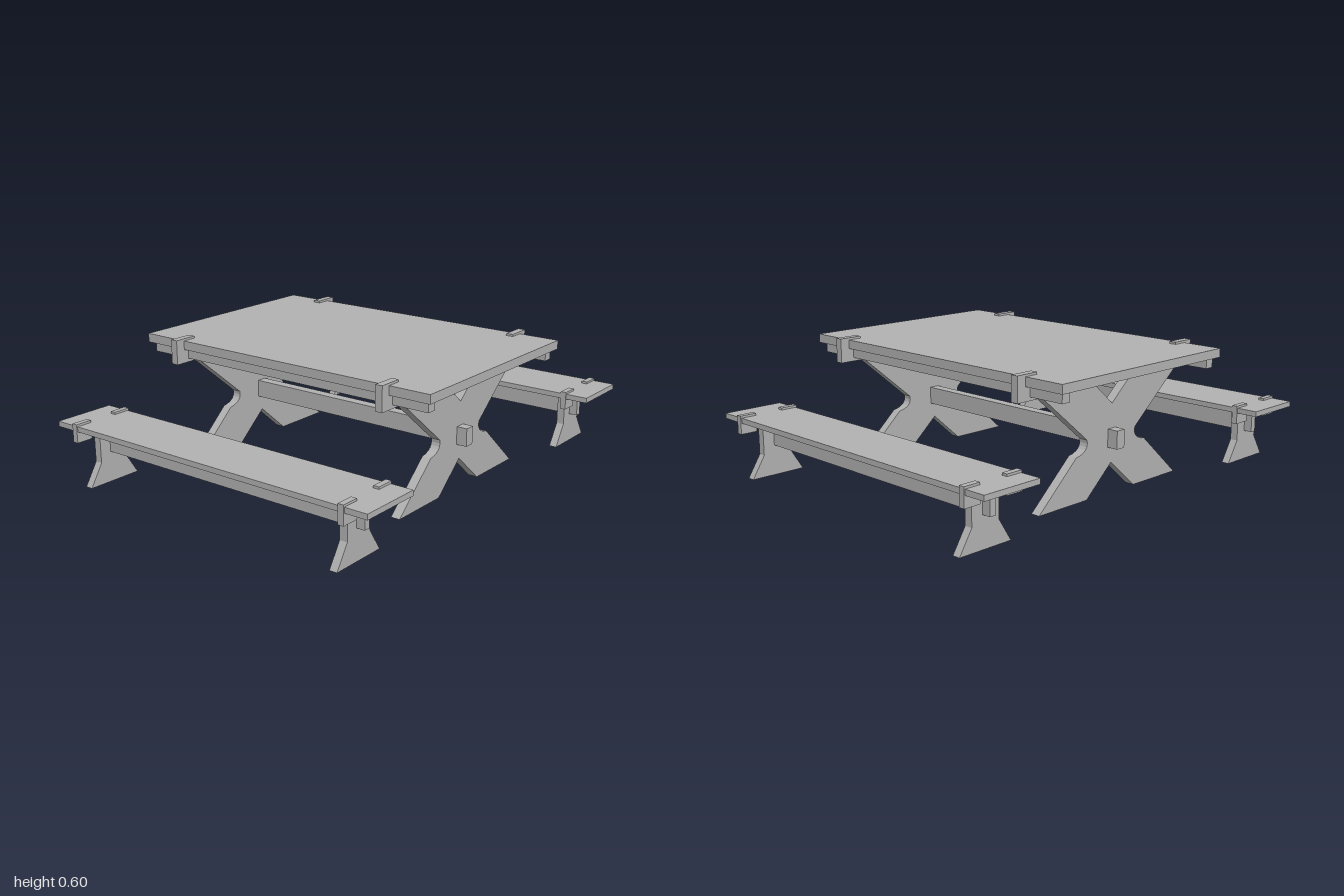
import * as THREE from 'three';

const wood = new THREE.MeshStandardMaterial({ color: 0xb2b2b2 });
wood.name = 'grey wood';

// Box given by its extents on each axis
function board(name, [x0, x1], [y0, y1], [z0, z1]) {
  const mesh = new THREE.Mesh(new THREE.BoxGeometry(x1 - x0, y1 - y0, z1 - z0), wood);
  mesh.position.set((x0 + x1) / 2, (y0 + y1) / 2, (z0 + z1) / 2);
  mesh.name = name;
  return mesh;
}

// Upright panel cut from a z-y outline, centred on x
function panel(name, shape, x, z, thickness) {
  const geo = new THREE.ExtrudeGeometry(shape, { depth: thickness, bevelEnabled: false, curveSegments: 5 });
  geo.translate(0, 0, -thickness / 2);
  geo.rotateY(-Math.PI / 2);
  const mesh = new THREE.Mesh(geo, wood);
  mesh.position.set(x, 0, z);
  mesh.name = name;
  return mesh;
}

// Crossed trestle outline with rounded notches at the waist
function trestleShape() {
  const s = new THREE.Shape();
  s.moveTo(0.155, 0);
  s.lineTo(0.445, 0);
  s.lineTo(0.222, 0.2);
  s.lineTo(0.2, 0.204);
  s.quadraticCurveTo(0.145, 0.22, 0.157, 0.263);
  s.lineTo(0.445, 0.5);
  s.lineTo(0.445, 0.545);
  s.lineTo(0.175, 0.545);
  s.lineTo(0, 0.395);
  s.lineTo(-0.175, 0.545);
  s.lineTo(-0.445, 0.545);
  s.lineTo(-0.445, 0.5);
  s.lineTo(-0.157, 0.263);
  s.quadraticCurveTo(-0.145, 0.22, -0.2, 0.204);
  s.lineTo(-0.222, 0.2);
  s.lineTo(-0.445, 0);
  s.lineTo(-0.155, 0);
  s.lineTo(0, 0.135);
  s.closePath();
  return s;
}

// Bench leg outline with flared foot
function benchLegShape() {
  const half = [[0.133, 0], [0.07, 0.1], [0.07, 0.252]];
  const mirrored = half.map(([z, y]) => [-z, y]).reverse();
  return new THREE.Shape([...half, ...mirrored].map(([z, y]) => new THREE.Vector2(z, y)));
}

function createTable() {
  const table = new THREE.Group();
  table.name = 'table';
  table.add(board('tableTop', [-0.766, 0.777], [0.545, 0.585], [-0.512, 0.512]));
  table.add(board('stretcher', [-0.636, 0.645], [0.205, 0.286], [-0.024, 0.024]));
  const shape = trestleShape();
  for (const x of [-0.563, 0.574]) table.add(panel('trestle', shape, x, 0, 0.043));
  for (const side of [-1, 1]) {
    const span = (a, b) => [Math.min(a * side, b * side), Math.max(a * side, b * side)];
    table.add(board('tableRail', [-0.744, 0.754], [0.5, 0.545], span(0.444, 0.488)));
    for (const x of [-0.555, 0.567]) {
      table.add(board('tableClip', [x - 0.017, x + 0.017], [0.484, 0.595], span(0.447, 0.557)));
    }
  }
  return table;
}

function createBench(z) {
  const bench = new THREE.Group();
  bench.name = z > 0 ? 'frontBench' : 'backBench';
  bench.add(board('benchSeat', [-0.84, 0.84], [0.252, 0.276], [-0.143, 0.143]));
  bench.add(board('benchRail', [-0.736, 0.733], [0.138, 0.252], [-0.015, 0.015]));
  const shape = benchLegShape();
  for (const x of [-0.679, 0.676]) bench.add(panel('benchLeg', shape, x, 0, 0.036));
  for (const x of [-0.728, 0.723]) {
    for (const [z0, z1] of [[-0.148, -0.068], [0.068, 0.148]]) {
      bench.add(board('benchClip', [x - 0.0135, x + 0.0135], [0.202, 0.286], [z0, z1]));
    }
  }
  bench.position.z = z;
  return bench;
}

export function createModel() {
  const model = new THREE.Group();
  model.name = 'picnicTable';
  model.add(createTable(), createBench(0.851), createBench(-0.851));
  return model;
}
